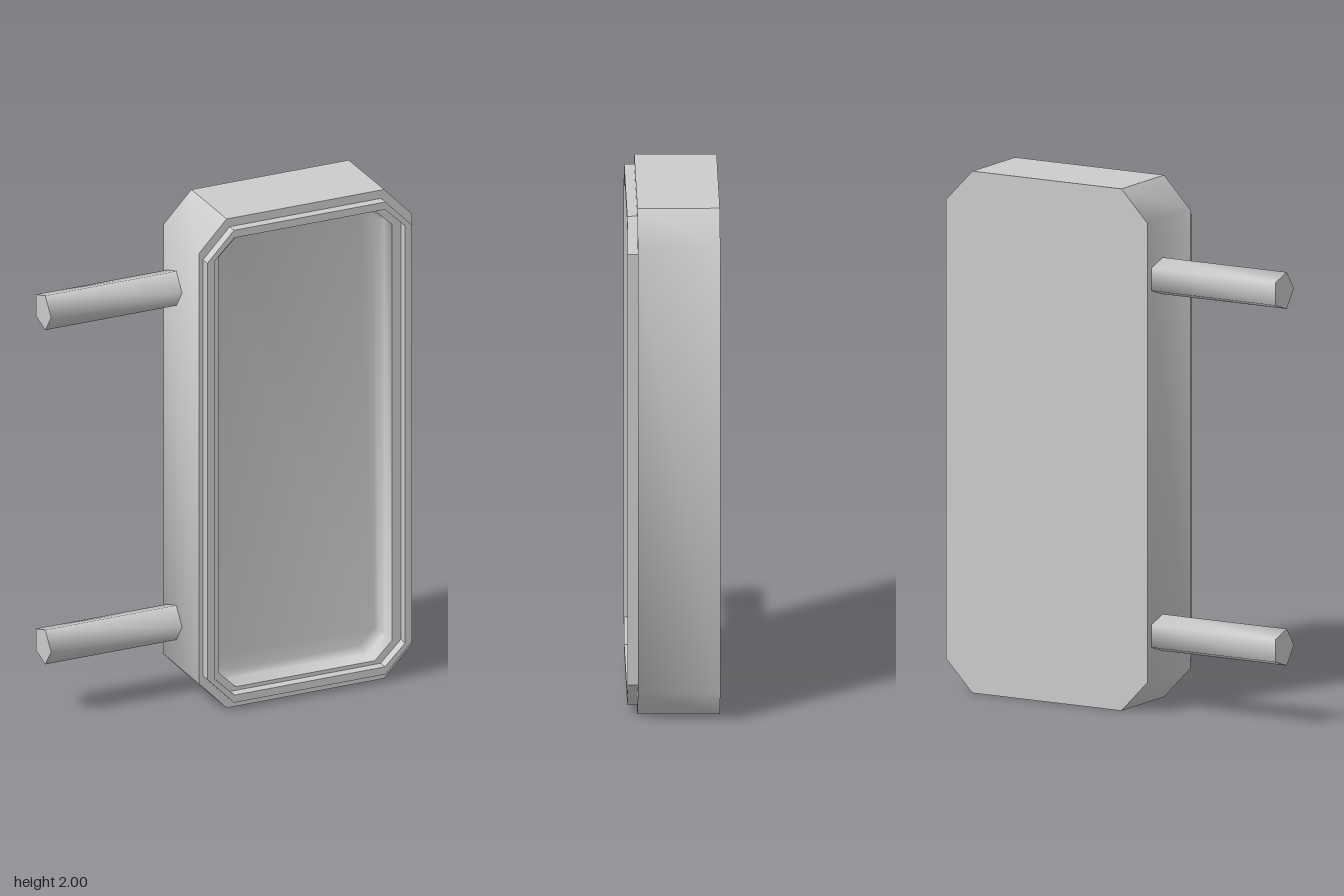
import * as THREE from 'three';
import { toCreasedNormals } from 'three/addons/utils/BufferGeometryUtils.js';

const material = new THREE.MeshStandardMaterial({ color: 0xcccccc });
const CENTER_X = 0.2725;

// Rectangle with cut corners: half width, half height, corner cuts, depth
function octagon([w, h, cx, cy, z]) {
  return [
    [w, -h + cy], [w, h - cy], [w - cx, h], [-w + cx, h],
    [-w, h - cy], [-w, -h + cy], [-w + cx, -h], [w - cx, -h],
  ].map(([x, y]) => [CENTER_X + x, 1 + y, z]);
}

// Skin a run of sections, optionally closing the first (rear) or last (front)
function loft(name, sections, crease, { capBack = false, capFront = false } = {}) {
  const rings = sections.map(octagon);
  const pos = [];
  const tri = (a, b, c) => pos.push(...a, ...b, ...c);
  for (let s = 0; s < rings.length - 1; s++) {
    for (let i = 0; i < 8; i++) {
      const j = (i + 1) % 8;
      const a = rings[s][i], b = rings[s][j], c = rings[s + 1][j], d = rings[s + 1][i];
      tri(a, b, c);
      tri(a, c, d);
    }
  }
  const back = rings[0], front = rings[rings.length - 1];
  for (let i = 1; i < 7; i++) {
    if (capBack) tri(back[0], back[i + 1], back[i]);
    if (capFront) tri(front[0], front[i], front[i + 1]);
  }
  const geometry = new THREE.BufferGeometry();
  geometry.setAttribute('position', new THREE.Float32BufferAttribute(pos, 3));
  const mesh = new THREE.Mesh(toCreasedNormals(geometry, THREE.MathUtils.degToRad(crease)), material);
  mesh.name = name;
  return mesh;
}

export function createModel() {
  const group = new THREE.Group();
  group.name = 'wallPanel';

  const bodyFront = 0.135, rimFront = 0.173;
  const rimOuter = [0.426, 0.966, 0.111, 0.115];
  const rimInner = [0.397, 0.935, 0.084, 0.082];
  const recessEdge = [0.361, 0.92, 0.072, 0.07];

  // Deep case with a narrow ledge around the rim
  group.add(loft('caseBody', [
    [0.4425, 1, 0.115, 0.12, -0.175],
    [0.4425, 1, 0.115, 0.12, bodyFront],
    [...rimOuter, bodyFront],
  ], 45, { capBack: true }));

  // Raised rim and the ledge inside it
  group.add(loft('rim', [
    [...rimOuter, bodyFront],
    [...rimOuter, rimFront],
    [...rimInner, rimFront],
    [...rimInner, bodyFront],
    [...recessEdge, bodyFront],
  ], 40));

  // Sunken front panel with a softened bottom edge
  group.add(loft('recess', [
    [...recessEdge, bodyFront],
    [...recessEdge, 0.06],
    [0.349, 0.908, 0.068, 0.066, 0.045],
    [0.331, 0.89, 0.062, 0.06, 0.04],
  ], 50, { capFront: true }));

  // Five-sided mounting pegs on the side
  const pegGeometry = toCreasedNormals(
    new THREE.CylinderGeometry(0.074, 0.074, 0.56, 5).rotateZ(Math.PI / 2),
    THREE.MathUtils.degToRad(75));
  for (const [name, y] of [['upperPeg', 1.66], ['lowerPeg', 0.293]]) {
    const peg = new THREE.Mesh(pegGeometry, material);
    peg.name = name;
    peg.position.set(-0.435, y, -0.087);
    group.add(peg);
  }
  return group;
}
